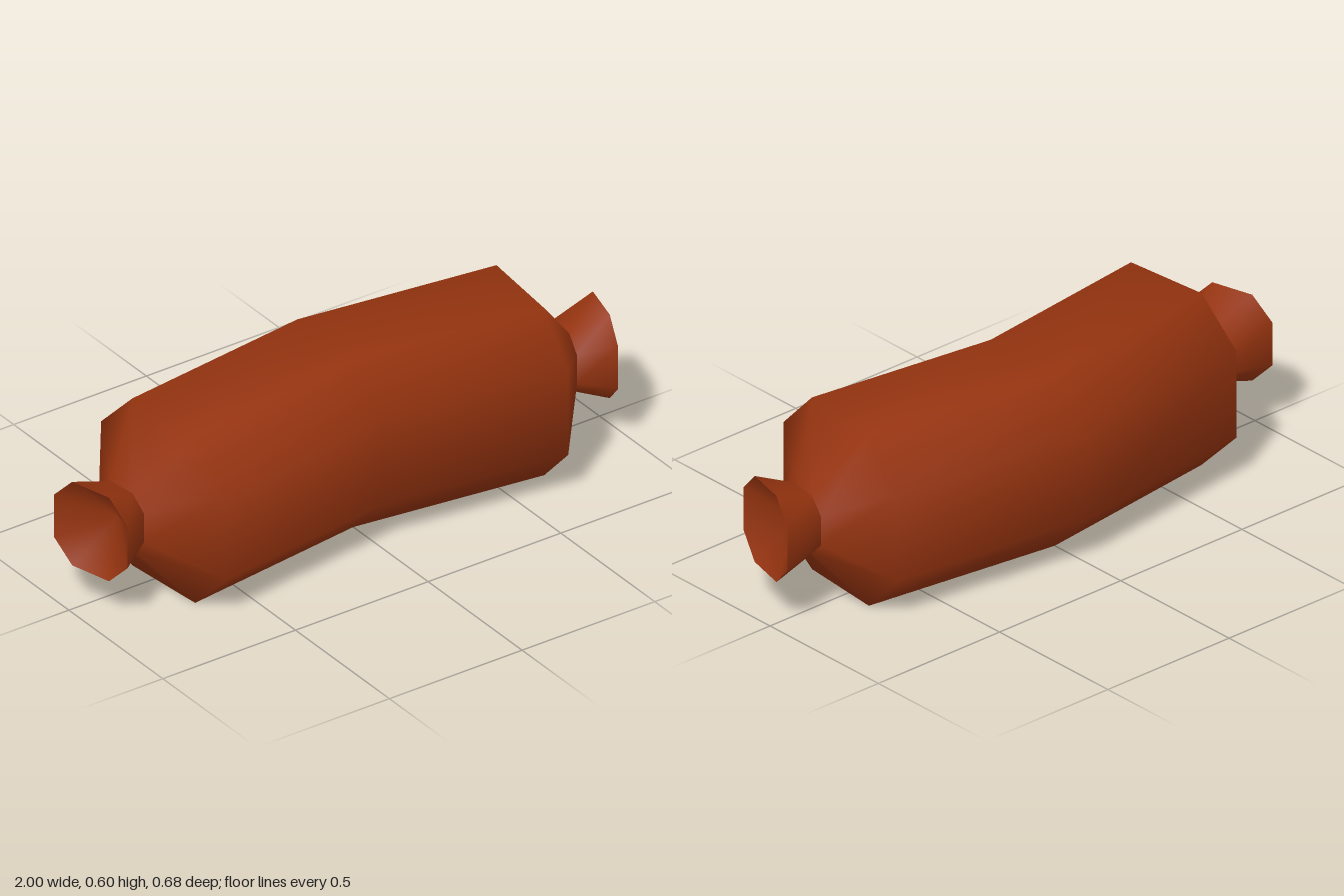
import * as THREE from 'three';
import { mergeVertices } from 'three/addons/utils/BufferGeometryUtils.js';

// Octagon corners: a runs along the section's sideways axis, b runs up
const CORNERS = [[1, -0.5], [1, 0.5], [0.5, 1], [-0.5, 1], [-1, 0.5], [-1, -0.5], [-0.5, -1], [0.5, -1]];
const AXIS_Y = 0.3;

// Section: centre (x, z), sideways half axis (hx, hz), half height r
const section = (x, z, hx, hz, r) => ({ x, z, hx, hz, r });
const mirror = (s) => ({ ...s, x: -s.x, hx: -s.hx });

// Smooth skin over a row of sections; faces outward when x increases, inward when it decreases
function loft(sections) {
  const n = CORNERS.length;
  const positions = [];
  const index = [];
  for (const s of sections) {
    for (const [a, b] of CORNERS) {
      positions.push(s.x + a * s.hx, AXIS_Y + b * s.r, s.z + a * s.hz);
    }
  }
  for (let i = 0; i < sections.length - 1; i++) {
    for (let j = 0; j < n; j++) {
      const k = (j + 1) % n;
      const p = i * n + j, q = (i + 1) * n + j, r = (i + 1) * n + k, t = i * n + k;
      index.push(p, q, r, p, r, t);
    }
  }
  const geometry = new THREE.BufferGeometry();
  geometry.setAttribute('position', new THREE.Float32BufferAttribute(positions, 3));
  geometry.setIndex(index);
  const merged = mergeVertices(geometry, 1e-5);
  merged.computeVertexNormals();
  return merged;
}

export function createModel() {
  const model = new THREE.Group();
  model.name = 'sausage';
  const skin = new THREE.MeshStandardMaterial({ color: 0x94330f });
  skin.name = 'sausage brown';

  const add = (name, sections) => {
    const mesh = new THREE.Mesh(loft(sections), skin);
    mesh.name = name;
    model.add(mesh);
  };

  const middle = section(0, -0.047, 0, 0.297, 0.3);
  const shoulder = section(0.672, 0.042, -0.028, 0.294, 0.3);
  const neck = section(0.83, 0.04, -0.014, 0.1, 0.102);
  const rim = section(0.9625, 0.0625, -0.0375, 0.143, 0.15);
  const hollow = section(0.845, 0.042, 0, 0, 0);

  // Bent body with tapered shoulders
  add('body', [mirror(neck), mirror(shoulder), middle, shoulder, neck]);

  // Flared tied ends, each with a hollow mouth
  add('leftEnd', [neck, rim]);
  add('leftMouth', [rim, hollow]);
  add('rightEnd', [mirror(rim), mirror(neck)]);
  add('rightMouth', [mirror(hollow), mirror(rim)]);

  return model;
}
